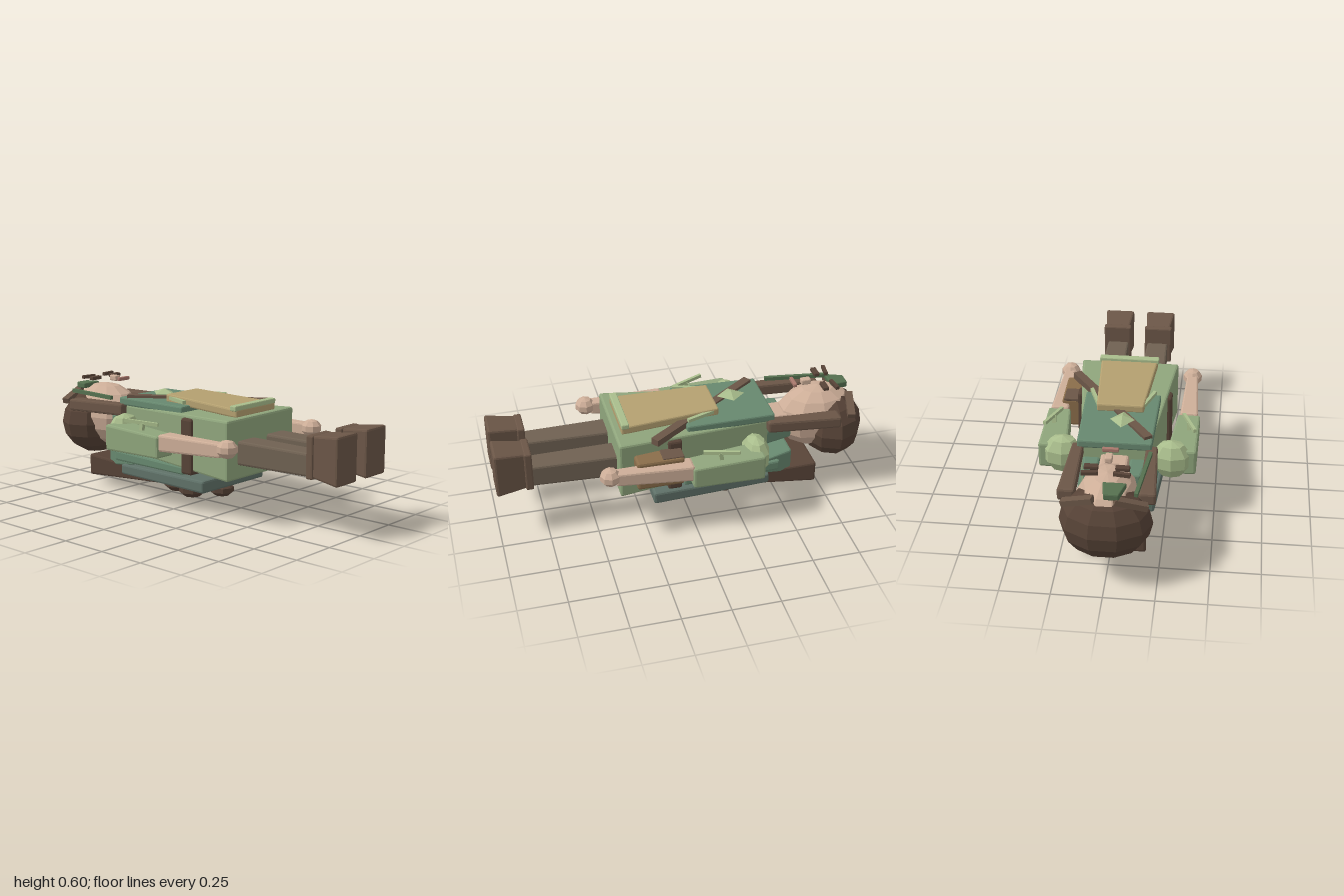
import * as THREE from 'three';
import { RoundedBoxGeometry } from 'three/addons/geometries/RoundedBoxGeometry.js';

const C = {
  tunic: 0x8fa57c, light: 0xa9bd8c, teal: 0x67886f, cape: 0x5f7168, brown: 0x6b5647,
  dark: 0x574337, leg: 0x6f6152, skin: 0xcdae98, tan: 0xb4a070, bag: 0x8a6d4a,
  leaf: 0x55704f, lips: 0xa8786c,
};
const lerp = THREE.MathUtils.lerp;

export function createModel() {
  const model = new THREE.Group();
  model.name = 'lyingFigure';

  function add(name, color, geometry) {
    const mesh = new THREE.Mesh(geometry, new THREE.MeshStandardMaterial({ color, flatShading: true }));
    mesh.name = name;
    model.add(mesh);
    return mesh;
  }

  // Bevelled block running from z0 to z1; each end is [xMin, xMax, yMin, yMax]
  function block(name, color, z0, a, z1, b = a) {
    const w = Math.max(a[1] - a[0], b[1] - b[0]);
    const h = Math.max(a[3] - a[2], b[3] - b[2]);
    const d = z1 - z0;
    const geo = new RoundedBoxGeometry(w, h, d, 1, Math.min(0.012, Math.min(w, h, d) * 0.2));
    const p = geo.attributes.position;
    for (let i = 0; i < p.count; i++) {
      const t = p.getZ(i) / d + 0.5, u = p.getX(i) / w + 0.5, v = p.getY(i) / h + 0.5;
      p.setXYZ(i,
        lerp(lerp(a[0], b[0], t), lerp(a[1], b[1], t), u),
        lerp(lerp(a[2], b[2], t), lerp(a[3], b[3], t), v),
        lerp(z0, z1, t));
    }
    return add(name, color, geo);
  }

  // Same block on both sides of the body
  function pair(name, color, z0, a, z1, b = a) {
    const flip = (r) => [-r[1], -r[0], r[2], r[3]];
    block(name + 'Left', color, z0, a, z1, b);
    block(name + 'Right', color, z0, flip(a), z1, flip(b));
  }

  // Flat bar between two points (x, y, z)
  function bar(name, color, from, to, width, height) {
    const a = new THREE.Vector3(...from), b = new THREE.Vector3(...to);
    const mesh = add(name, color, new THREE.BoxGeometry(width, height, a.distanceTo(b)));
    mesh.position.copy(a).lerp(b, 0.5);
    mesh.lookAt(b);
    return mesh;
  }

  // Faceted ellipsoid
  function blob(name, color, pos, radii, w = 8, h = 6) {
    const mesh = add(name, color, new THREE.SphereGeometry(1, w, h));
    mesh.scale.set(...radii);
    mesh.position.set(...pos);
    return mesh;
  }

  // Legs and boots
  pair('leg', C.leg, 0.34, [0.045, 0.185, 0.285, 0.41], 0.84, [0.055, 0.172, 0.295, 0.41]);
  pair('bootCuff', C.brown, 0.81, [0.04, 0.195, 0.29, 0.505], 0.85);
  pair('boot', C.brown, 0.82, [0.052, 0.182, 0.30, 0.50], 1.0, [0.037, 0.203, 0.277, 0.522]);

  // Tunic, belt, chest panel and apron
  block('tunic', C.tunic, -0.43, [-0.17, 0.17, 0.24, 0.49], 0.38, [-0.265, 0.265, 0.21, 0.522]);
  block('belt', C.dark, 0.05, [-0.25, 0.25, 0.2, 0.495], 0.125);
  block('chestPanel', C.teal, -0.46, [-0.185, 0.185, 0.49, 0.533], 0.01, [-0.196, 0.196, 0.495, 0.538]);
  block('apron', C.tan, -0.175, [-0.12, 0.12, 0.53, 0.575], 0.345, [-0.155, 0.155, 0.515, 0.56]);
  block('apronHem', C.light, 0.305, [-0.16, 0.16, 0.55, 0.578], 0.345);
  const gem = add('chestDiamond', C.light, new THREE.OctahedronGeometry(1));
  gem.scale.set(0.062, 0.025, 0.075);
  gem.position.set(-0.022, 0.555, -0.28);

  // Shoulder strap and bag
  bar('shoulderStrap', C.brown, [-0.165, 0.532, -0.415], [0.27, 0.525, 0.2], 0.045, 0.035);
  block('bag', C.bag, 0.06, [0.22, 0.335, 0.29, 0.45], 0.305);
  block('bagFlap', C.brown, 0.06, [0.24, 0.325, 0.44, 0.455], 0.17);

  // Arms
  for (const s of [1, -1]) {
    blob('shoulderPuff', C.light, [s * 0.275, 0.37, -0.33], [0.105, 0.105, 0.075], 8, 5);
    blob('hand', C.skin, [s * 0.34, 0.405, 0.445], [0.053, 0.048, 0.055], 8, 5);
    bar('sleeveTrim', C.light, [s * 0.385, 0.468, -0.215], [s * 0.32, 0.456, -0.04], 0.016, 0.018);
    bar('sleeveStay', C.light, [s * 0.35, 0.41, -0.13], [s * 0.35, 0.46, -0.12], 0.02, 0.02);
    bar('chestLace', C.light, [s * 0.105, 0.556, -0.17], [s * 0.165, 0.556, 0.0], 0.018, 0.018);
  }
  pair('sleeve', C.tunic, -0.35, [0.25, 0.4, 0.29, 0.43], 0.03, [0.285, 0.402, 0.3, 0.415]);
  pair('forearm', C.skin, 0.02, [0.295, 0.39, 0.335, 0.425], 0.42, [0.31, 0.37, 0.36, 0.43]);

  // Neck, collar, hood and cape
  block('neck', C.skin, -0.6, [-0.07, 0.07, 0.31, 0.44], -0.41);
  pair('collar', C.teal, -0.57, [0.075, 0.14, 0.345, 0.42], -0.41, [0.075, 0.165, 0.33, 0.42]);
  block('hood', C.teal, -0.575, [-0.155, 0.155, 0.13, 0.27], -0.36, [-0.19, 0.19, 0.17, 0.24]);
  block('upperCape', C.teal, -0.5, [-0.19, 0.19, 0.175, 0.235], 0.03, [-0.21, 0.21, 0.18, 0.225]);
  block('lowerCape', C.cape, -0.44, [-0.2, 0.2, 0.11, 0.165], 0.2, [-0.245, 0.245, 0.115, 0.182]);

  // Back hair and braid
  block('backHair', C.dark, -0.71, [-0.183, 0.183, 0.06, 0.18], -0.14, [-0.12, 0.12, 0.085, 0.115]);
  blob('braidTop', C.dark, [0.04, 0.055, -0.235], [0.085, 0.052, 0.08], 8, 5);
  blob('braidMiddle', C.dark, [-0.03, 0.06, -0.065], [0.08, 0.048, 0.075], 8, 5);
  blob('braidTip', C.dark, [0.025, 0.075, 0.095], [0.065, 0.04, 0.068], 8, 5);

  // Head and hair
  blob('head', C.skin, [0, 0.38, -0.755], [0.16, 0.178, 0.225], 10, 8);
  blob('hairCap', C.dark, [0, 0.335, -0.83], [0.225, 0.187, 0.17], 10, 8);
  pair('sideLock', C.brown, -0.815, [0.15, 0.235, 0.42, 0.485], -0.42, [0.155, 0.212, 0.435, 0.5]);
  for (const s of [1, -1]) {
    bar('fringe', C.brown, [s * 0.05, 0.51, -0.915], [s * 0.2, 0.46, -0.88], 0.04, 0.03);
  }

  // Raised facial features
  pair('eye', C.dark, -0.78, [0.04, 0.108, 0.58, 0.6], -0.75);
  for (const s of [1, -1]) {
    bar('eyebrow', C.dark, [s * 0.035, 0.592, -0.815], [s * 0.115, 0.592, -0.825], 0.018, 0.018);
  }
  block('nose', C.skin, -0.712, [-0.018, 0.018, 0.575, 0.606], -0.66);
  block('mouth', C.lips, -0.627, [-0.04, 0.04, 0.583, 0.603], -0.608);

  // Hair ribbon and leaf clip
  bar('hairRibbon', C.leaf, [-0.145, 0.515, -0.87], [-0.185, 0.52, -0.52], 0.018, 0.02);
  block('leafClip', C.leaf, -0.925, [-0.07, 0.0, 0.515, 0.55], -0.83, [-0.1, 0.015, 0.525, 0.555]);

  return model;
}
